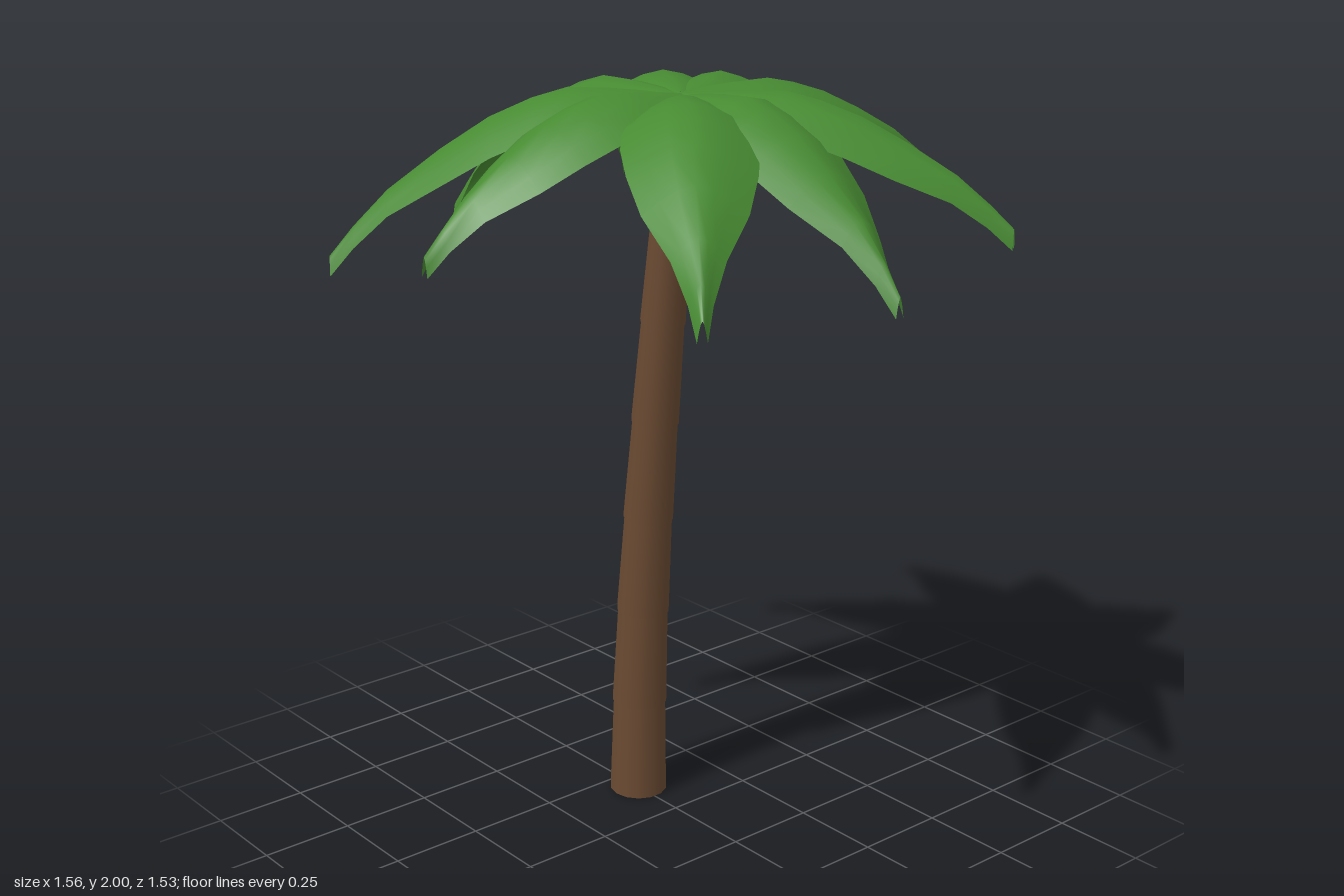
import * as THREE from 'three';

const bark = new THREE.MeshStandardMaterial({ color: 0x6a4a32 });
bark.name = 'bark brown';
const husk = new THREE.MeshStandardMaterial({ color: 0x6b4332 });
husk.name = 'coconut brown';
const leaf = new THREE.MeshStandardMaterial({ color: 0x478a32, side: THREE.DoubleSide });
leaf.name = 'leaf green';

// Frond stations: [t along the frond, fall as a share of the full droop, half width, edge drop]
const STATIONS = [
  [0, 0.06, 0.02, 0.005],
  [0.1, 0.03, 0.075, 0.02],
  [0.2, 0.01, 0.125, 0.045],
  [0.32, 0, 0.158, 0.065],
  [0.42, 0.06, 0.162, 0.075],
  [0.54, 0.17, 0.152, 0.075],
  [0.68, 0.36, 0.122, 0.07],
  [0.83, 0.6, 0.062, 0.055],
  [0.93, 0.82, 0.028, 0.05],
  [1, 1, 0.012, 0.05],
];
const ACROSS = 6;

// Arched blade running from the crown to a drooping, folded tip
function frondGeometry(tipX, tipY, tipZ) {
  const start = new THREE.Vector2(0.025, 0);
  const run = new THREE.Vector2(tipX, tipZ).sub(start);
  const dir = run.clone().normalize();
  const pos = [];
  const index = [];
  STATIONS.forEach(([t, fall, half, drop], i) => {
    for (let j = 0; j <= ACROSS; j++) {
      const u = (j / ACROSS) * 2 - 1;
      pos.push(
        start.x + run.x * t - dir.y * half * u,
        2 - fall * (2 - tipY) - drop * Math.pow(Math.abs(u), 1.6),
        start.y + run.y * t + dir.x * half * u
      );
      if (i && j) {
        const d = i * (ACROSS + 1) + j;
        const c = d - 1;
        const b = d - ACROSS - 1;
        const a = b - 1;
        index.push(a, b, c, b, d, c);
      }
    }
  });
  const g = new THREE.BufferGeometry();
  g.setAttribute('position', new THREE.Float32BufferAttribute(pos, 3));
  g.setIndex(index);
  g.computeVertexNormals();
  return g;
}

export function createModel() {
  const model = new THREE.Group();
  model.name = 'palmTree';

  // Trunk: seven tapered segments stacked along a gentle lean
  const trunk = new THREE.Group();
  trunk.name = 'trunk';
  const centres = [-0.17, -0.162, -0.145, -0.12, -0.09, -0.057, -0.022, 0.015];
  const step = 0.276;
  const up = new THREE.Vector3(0, 1, 0);
  for (let i = 0; i < 7; i++) {
    const a = new THREE.Vector3(centres[i], 0.004 + i * step, -0.005);
    const b = new THREE.Vector3(centres[i + 1], 0.004 + (i + 1) * step, -0.005);
    const axis = b.clone().sub(a);
    const bottom = 0.08 - i * 0.004;
    const seg = new THREE.Mesh(
      new THREE.CylinderGeometry(bottom - 0.007, bottom, axis.length(), 14), bark);
    seg.name = 'trunkSegment' + (i + 1);
    seg.position.copy(a).add(b).multiplyScalar(0.5);
    seg.quaternion.setFromUnitVectors(up, axis.normalize());
    trunk.add(seg);
  }
  model.add(trunk);

  // Crown: nine fronds given by the ridge position at each tip
  const crown = new THREE.Group();
  crown.name = 'crown';
  const tips = [
    [0.78, 1.61, -0.005], [0.68, 1.62, 0.5], [0.005, 1.68, 0.76],
    [-0.48, 1.59, 0.72], [-0.78, 1.6, 0.135], [-0.71, 1.67, -0.42],
    [-0.365, 1.63, -0.74], [0.16, 1.73, -0.765], [0.745, 1.7, -0.425],
  ];
  tips.forEach((tip, i) => {
    const frond = new THREE.Mesh(frondGeometry(...tip), leaf);
    frond.name = 'frond' + (i + 1);
    crown.add(frond);
  });
  model.add(crown);

  // Coconuts around the top of the trunk
  for (let i = 0; i < 3; i++) {
    const angle = Math.PI / 4 + (i * 2 * Math.PI) / 3;
    const nut = new THREE.Mesh(new THREE.SphereGeometry(0.036, 14, 10), husk);
    nut.name = 'coconut' + (i + 1);
    nut.position.set(0.005 + Math.cos(angle) * 0.065, 1.875, -0.005 + Math.sin(angle) * 0.065);
    model.add(nut);
  }
  return model;
}
